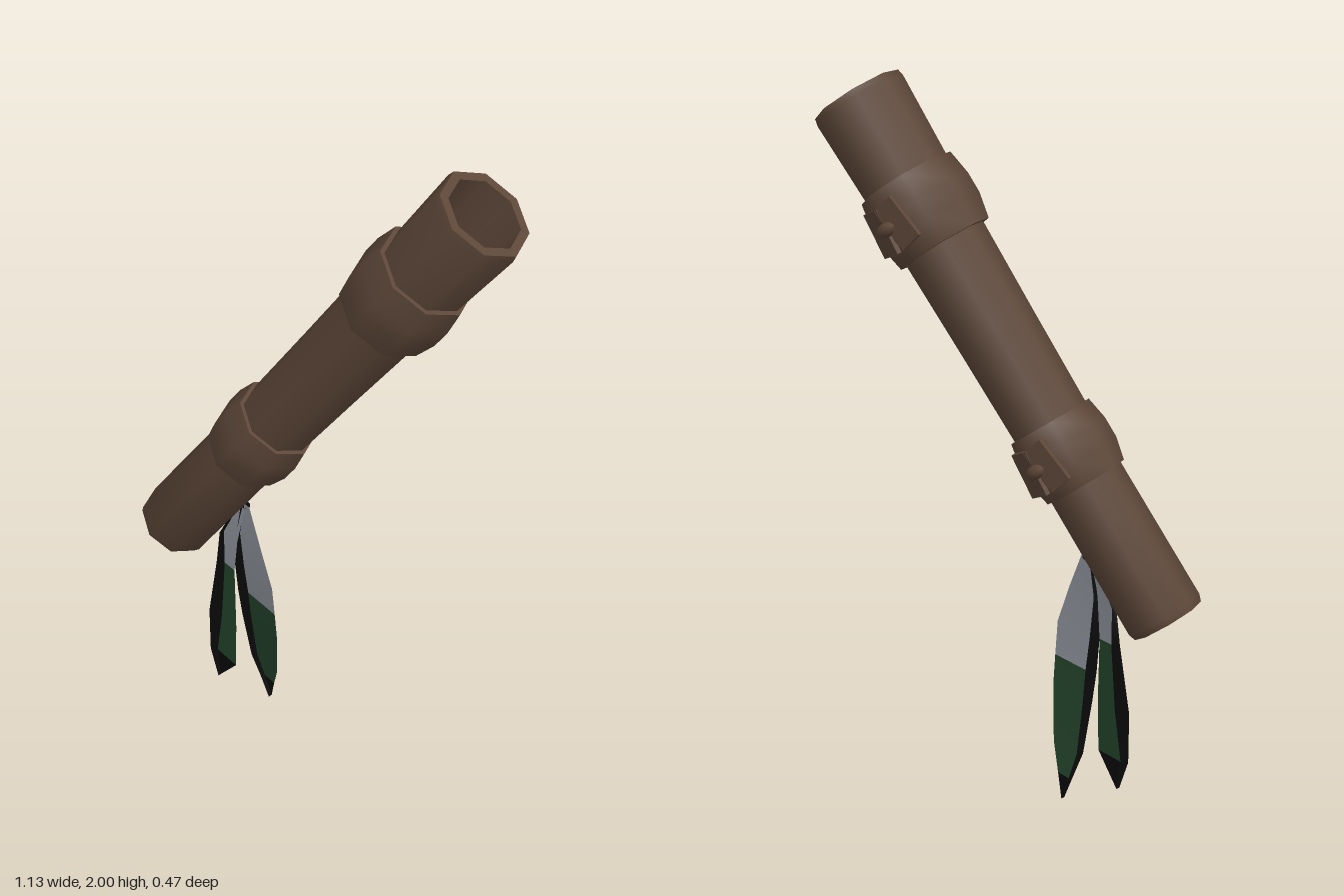
import * as THREE from 'three';
import { toCreasedNormals } from 'three/addons/utils/BufferGeometryUtils.js';

const flat = (name, color, side = THREE.FrontSide) => {
  const m = new THREE.MeshStandardMaterial({ color, side });
  m.name = name;
  return m;
};

// Eight-sided turned form with smooth sides and crisp rims
function turned(name, profile, material) {
  const geo = new THREE.LatheGeometry(profile.map(([r, y]) => new THREE.Vector2(r, y)), 8);
  const mesh = new THREE.Mesh(toCreasedNormals(geo, 1.0), material);
  mesh.name = name;
  return mesh;
}

// Strip between two columns of points
function strip(name, left, right, material) {
  const pos = [], index = [];
  left.forEach((p, i) => {
    pos.push(...p, ...right[i]);
    const a = i * 2;
    if (i) index.push(a - 2, a, a - 1, a - 1, a, a + 1);
  });
  const geo = new THREE.BufferGeometry();
  geo.setAttribute('position', new THREE.Float32BufferAttribute(pos, 3));
  geo.setIndex(index);
  geo.computeVertexNormals();
  const mesh = new THREE.Mesh(geo, material);
  mesh.name = name;
  return mesh;
}

// Feather rows: [y, left edge x, dark border x, right edge x, z]
function feather(name, rows, greyEnd, greenEnd, mats) {
  const g = new THREE.Group();
  g.name = name;
  const edge = rows.map(r => [r[1], r[0], r[4] + 0.012]);
  const rib = rows.map(r => [r[2], r[0], r[4]]);
  const rim = rows.map(r => [r[3], r[0], r[4] + (r[3] - r[2]) * 0.12]);
  g.add(strip('darkBorder', edge, rib, mats.black));
  const part = (label, a, b, m) => g.add(strip(label, rib.slice(a, b + 1), rim.slice(a, b + 1), m));
  part('greyVane', 0, greyEnd, mats.grey);
  part('greenVane', greyEnd, greenEnd, mats.green);
  part('darkTip', greenEnd, rows.length - 1, mats.black);
  return g;
}

export function createModel() {
  const model = new THREE.Group();
  model.name = 'featheredTube';
  const brown = flat('brown', 0x5c4638);
  const mats = {
    grey: flat('grey', 0x959aa2, THREE.DoubleSide),
    green: flat('green', 0x26482e, THREE.DoubleSide),
    black: flat('black', 0x0a0a0a, THREE.DoubleSide),
  };

  // Slanted frame: local y runs along the tube, local -z faces the back
  const foot = new THREE.Vector3(-0.485, 0.59, 0.12);
  const head = new THREE.Vector3(0.457, 1.92, -0.11);
  const length = foot.distanceTo(head);
  const Y = head.clone().sub(foot).normalize();
  const Z = new THREE.Vector3(0, 0, 1).addScaledVector(Y, -Y.z).normalize();
  const X = Y.clone().cross(Z);
  const tube = new THREE.Group();
  tube.name = 'tubeAssembly';
  tube.quaternion.setFromRotationMatrix(new THREE.Matrix4().makeBasis(X, Y, Z));
  tube.position.copy(foot);
  model.add(tube);

  // Hollow tube, slightly flared at the head
  tube.add(turned('hollowTube', [
    [0.08, 0], [0.103, 0], [0.11, 0.02], [0.108, 0.5], [0.114, 0.9], [0.12, 1.2],
    [0.134, length - 0.02], [0.13, length], [0.105, length], [0.09, length - 0.3],
    [0.08, 0.3], [0.08, 0],
  ], brown));

  // Wrapped bands, each tied at the back
  for (const [y0, y1, r] of [[0.435, 0.625, 0.133], [1.18, 1.385, 0.151]]) {
    const mid = (y0 + y1) / 2;
    tube.add(turned('wrappedBand', [
      [0.1, y0], [r - 0.014, y0], [r, mid - 0.03], [r, mid + 0.03], [r - 0.012, y1], [0.1, y1],
    ], brown));
    const tie = new THREE.Group();
    tie.name = 'bandTie';
    tie.position.set(0, mid, -r);
    for (const s of [-1, 1]) {
      const flap = new THREE.Mesh(new THREE.BoxGeometry(0.07, 0.13, 0.014), brown);
      flap.name = 'tieFlap';
      flap.position.set(s * 0.036, 0, 0.006);
      flap.rotation.set(0, s * -0.2, s * 0.15);
      tie.add(flap);
    }
    const knot = new THREE.Mesh(new THREE.SphereGeometry(0.02, 8, 6), brown);
    knot.name = 'tieKnot';
    knot.scale.set(1.7, 1, 1);
    knot.position.z = -0.01;
    tie.add(knot);
    tube.add(tie);
  }

  // Two hanging feathers
  model.add(feather('leftFeather', [
    [0.74, -0.26, -0.26, -0.235, 0.048], [0.62, -0.285, -0.282, -0.182, 0.046],
    [0.5, -0.3, -0.275, -0.14, 0.04], [0.4, -0.298, -0.268, -0.14, 0.032],
    [0.31, -0.29, -0.266, -0.14, 0.025], [0.15, -0.276, -0.264, -0.165, 0.005],
    [0.07, -0.25, -0.246, -0.2, -0.008], [0, -0.225, -0.225, -0.225, -0.015],
  ], 3, 6, mats));
  model.add(feather('rightFeather', [
    [0.74, -0.27, -0.27, -0.25, 0.05], [0.6, -0.345, -0.34, -0.275, 0.056],
    [0.49, -0.357, -0.336, -0.288, 0.06], [0.29, -0.39, -0.348, -0.277, 0.066],
    [0.14, -0.39, -0.372, -0.28, 0.066], [0.05, -0.36, -0.36, -0.36, 0.065],
  ], 2, 4, mats));

  // Quill cord that ties the feathers to the tube
  const path = new THREE.LineCurve3(new THREE.Vector3(-0.25, 0.735, 0.046), new THREE.Vector3(-0.35, 0.72, 0.02));
  const cord = new THREE.Mesh(new THREE.TubeGeometry(path, 1, 0.011, 6), mats.black);
  cord.name = 'featherCord';
  model.add(cord);
  return model;
}
